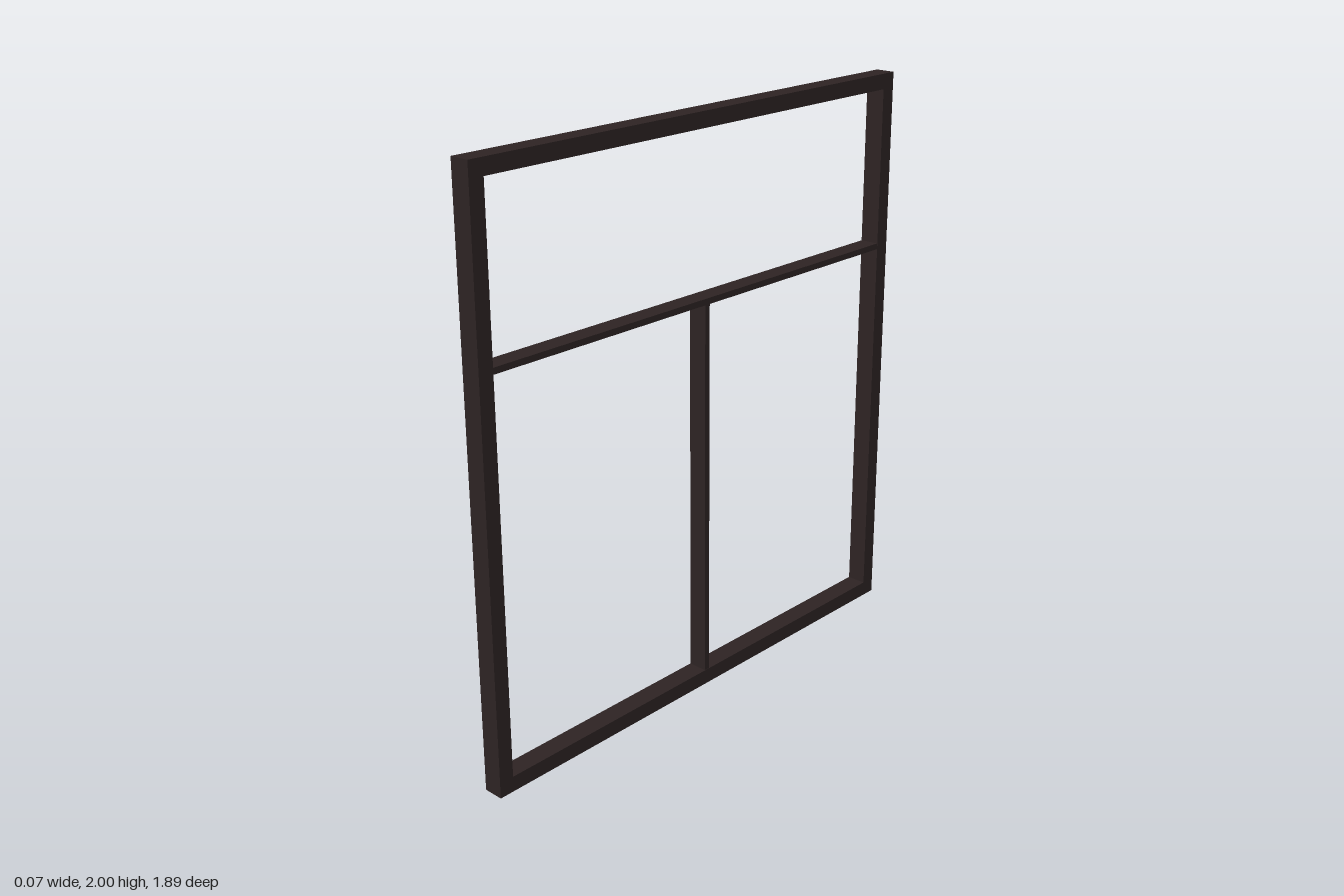
import * as THREE from 'three';

export function createModel() {
  const model = new THREE.Group();
  model.name = 'windowFrame';

  const darkBrown = new THREE.MeshStandardMaterial({ color: 0x2d2323 });
  darkBrown.name = 'darkBrown';

  const height = 2, halfWidth = 0.945, depth = 0.07, border = 0.053;
  const barThickness = 0.021, barDepth = 0.067, transomY = 1.39;

  const rectangle = (path, x, y0, y1) => {
    path.moveTo(-x, y0);
    path.lineTo(x, y0);
    path.lineTo(x, y1);
    path.lineTo(-x, y1);
    path.closePath();
    return path;
  };

  const add = (name, geometry, y = 0) => {
    const mesh = new THREE.Mesh(geometry, darkBrown);
    mesh.name = name;
    mesh.position.y = y;
    model.add(mesh);
  };

  // Outer frame: one rectangular ring, turned to lie in the y-z plane
  const outline = rectangle(new THREE.Shape(), halfWidth, 0, height);
  outline.holes.push(rectangle(new THREE.Path(), halfWidth - border, border, height - border));
  const ring = new THREE.ExtrudeGeometry(outline, { depth, bevelEnabled: false });
  ring.translate(0, 0, -depth / 2).rotateY(Math.PI / 2);
  add('outerFrame', ring);

  // Horizontal bar between the upper and lower lights
  const innerWidth = 2 * (halfWidth - border);
  add('transomBar', new THREE.BoxGeometry(barDepth, barThickness, innerWidth), transomY);

  // Upright bar dividing the lower light
  const mullionHeight = transomY - barThickness / 2 - border;
  add('mullionBar', new THREE.BoxGeometry(barDepth, mullionHeight, barThickness), border + mullionHeight / 2);

  return model;
}
